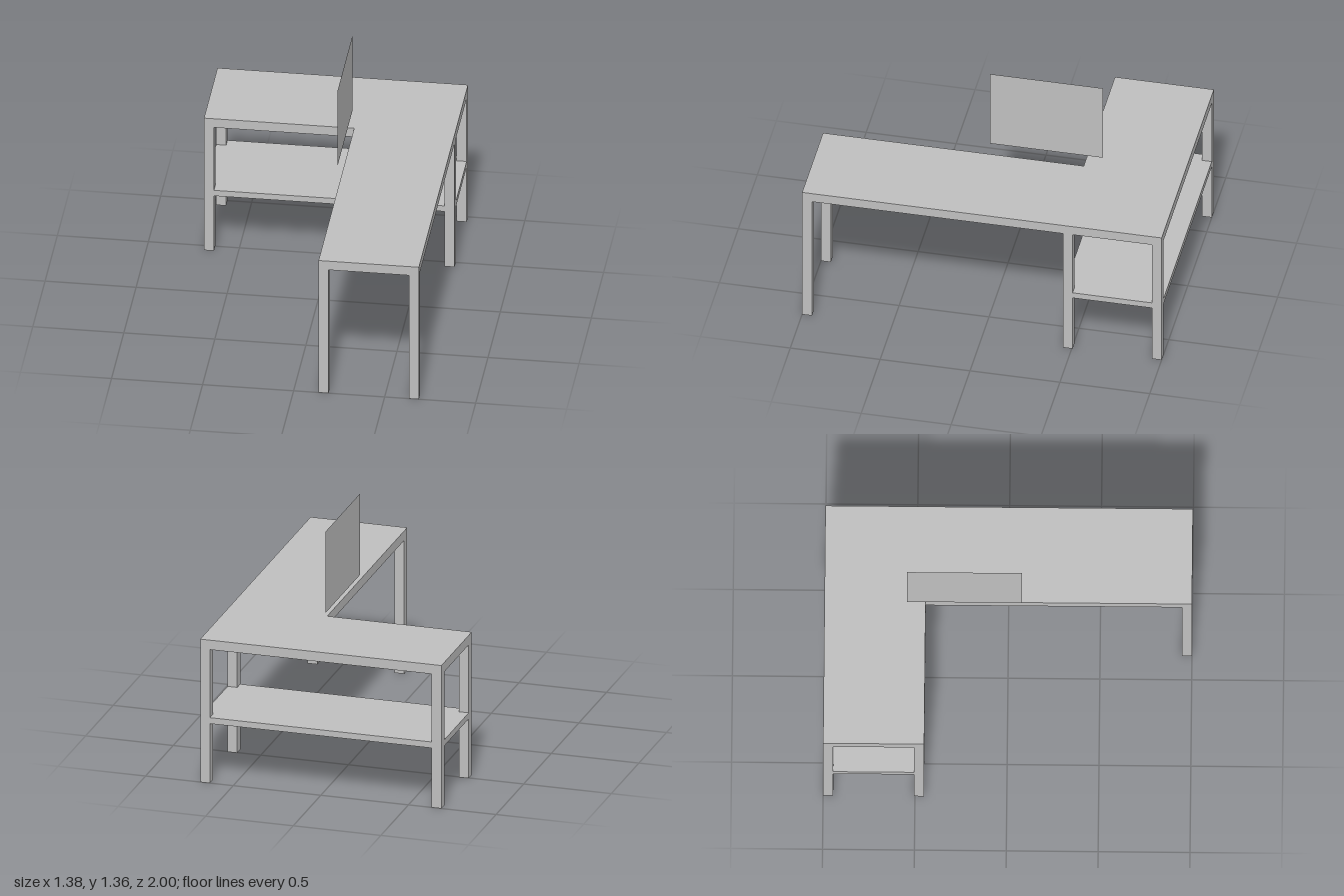
import * as THREE from 'three';

export function createModel() {
  const group = new THREE.Group();
  const grey = new THREE.MeshStandardMaterial({ color: 0xbfbfbf });
  const greyPanel = grey.clone();
  greyPanel.side = THREE.DoubleSide;

  const X = 0.688, INNER = 0.137; // half width, inner edge of the long arm
  const BACK = -1, MID = -0.45, FRONT = 1;
  const TOP = 0.83, UNDER = 0.775, LEG = 0.055;

  function add(name, geometry, x = 0, y = 0, z = 0, material = grey) {
    const mesh = new THREE.Mesh(geometry, material);
    mesh.name = name;
    mesh.position.set(x, y, z);
    group.add(mesh);
  }

  // Horizontal board from an outline of [x, z] points
  function board(name, outline, bottom, top) {
    const shape = new THREE.Shape(outline.map(([x, z]) => new THREE.Vector2(x, -z)));
    const geo = new THREE.ExtrudeGeometry(shape, { depth: top - bottom, bevelEnabled: false });
    add(name, geo.rotateX(-Math.PI / 2), 0, bottom, 0);
  }

  // L-shaped desk top
  board('deskTop', [
    [-X, BACK], [X, BACK], [X, FRONT], [INNER, FRONT], [INNER, MID], [-X, MID],
  ], UNDER, TOP);

  // Lower shelf, notched around the four legs of the short arm
  const xi = X - LEG, zb = BACK + LEG, zf = MID - LEG;
  board('shelf', [
    [-xi, BACK], [xi, BACK], [xi, zb], [X, zb], [X, zf], [xi, zf],
    [xi, MID], [-xi, MID], [-xi, zf], [-X, zf], [-X, zb], [-xi, zb],
  ], 0.345, 0.38);

  // Six square legs, given by their lowest x and z
  const legs = [
    ['backRightLeg', -X, BACK], ['backLeftLeg', xi, BACK],
    ['middleRightLeg', -X, zf], ['middleLeftLeg', xi, zf],
    ['frontRightLeg', INNER, FRONT - LEG], ['frontLeftLeg', xi, FRONT - LEG],
  ];
  for (const [name, x, z] of legs) {
    add(name, new THREE.BoxGeometry(LEG, UNDER, LEG), x + LEG / 2, UNDER / 2, z + LEG / 2);
  }

  // Thin upright screen floating above the desk
  const screen = new THREE.PlaneGeometry(0.628, 0.472).rotateY(Math.PI / 2);
  add('screen', screen, 0.115, 1.122, -0.238, greyPanel);

  return group;
}
